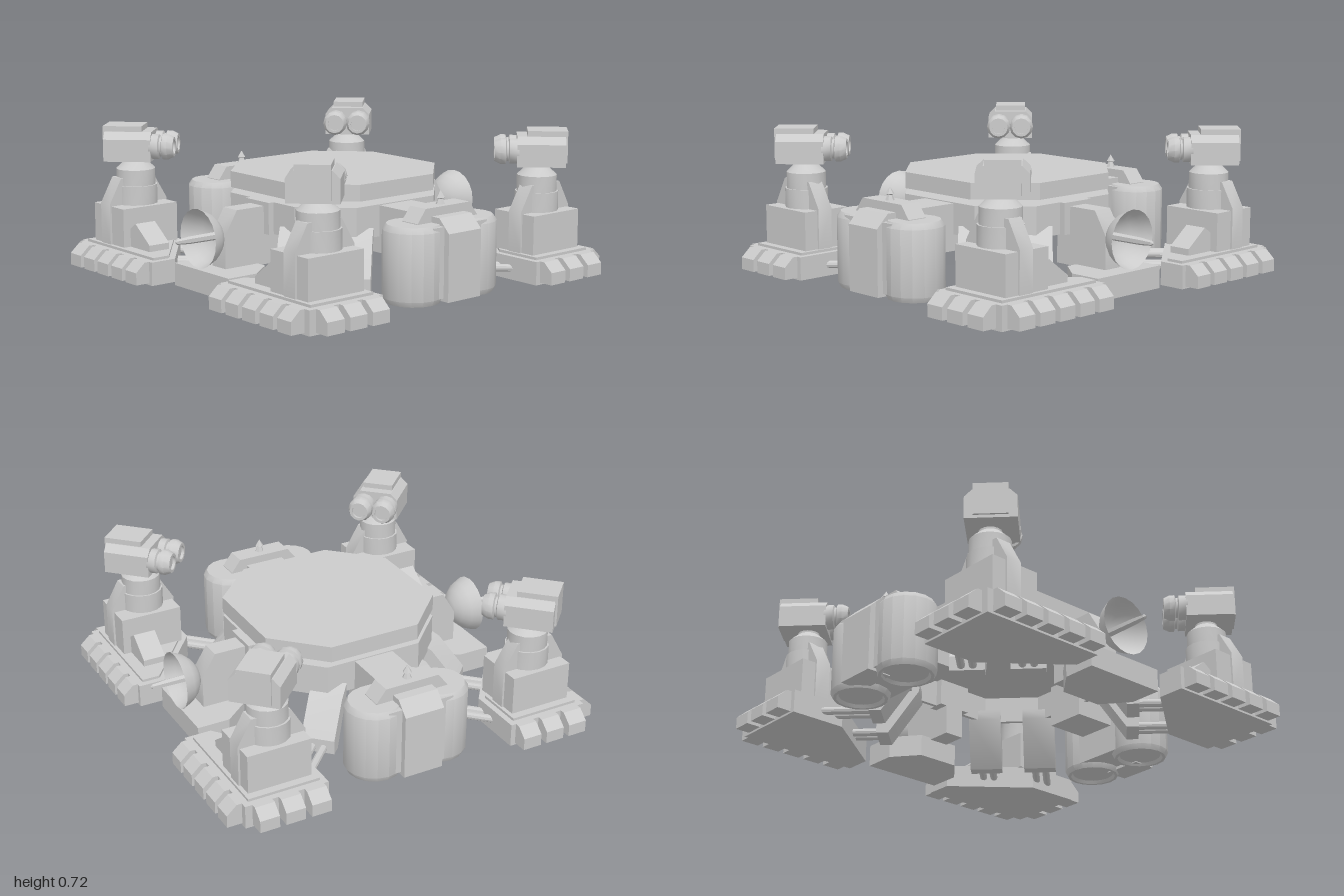
import * as THREE from 'three';
import { toCreasedNormals } from 'three/addons/utils/BufferGeometryUtils.js';

const material = new THREE.MeshStandardMaterial({ color: 0xcccccc });
const thin = new THREE.MeshStandardMaterial({ color: 0xcccccc, side: THREE.DoubleSide });

// Mirror sets as [x sign, z sign]
const ONE = [[1, 1]];
const SIDES = [[1, 1], [-1, 1]];
const ENDS = [[1, 1], [1, -1]];
const CORNERS = [[1, 1], [-1, 1], [1, -1], [-1, -1]];

// Geometry helpers
const shapeOf = (pts) => new THREE.Shape(pts.map(([a, b]) => new THREE.Vector2(a, b)));
const extrude = (shape, depth) => new THREE.ExtrudeGeometry(shape, { depth, bevelEnabled: false });
// outline in x,z raised from y0 to y1, with an optional hole
const slab = (pts, y0, y1, hole) => {
  const shape = shapeOf(pts);
  if (hole) shape.holes.push(shapeOf(hole));
  return extrude(shape, y1 - y0).rotateX(Math.PI / 2).translate(0, y1, 0);
};
// profile in x,y spanning z0 to z1
const alongZ = (pts, z0, z1) => extrude(shapeOf(pts), z1 - z0).translate(0, 0, z0);
// profile in z,y spanning x0 to x1
const alongX = (pts, x0, x1) => extrude(shapeOf(pts), x1 - x0).rotateY(-Math.PI / 2).translate(x1, 0, 0);
const box = (x0, x1, y0, y1, z0, z1) =>
  new THREE.BoxGeometry(x1 - x0, y1 - y0, z1 - z0).translate((x0 + x1) / 2, (y0 + y1) / 2, (z0 + z1) / 2);
const lathe = (pts, n) => new THREE.LatheGeometry(pts.map(([r, y]) => new THREE.Vector2(r, y)), n);
const octagon = (h, c) => [[-c, -h], [c, -h], [h, -c], [h, c], [c, h], [-c, h], [-h, c], [-h, -c]];
// turns local +x onto the diagonal of the +x +z corner
const diagonal = (geo) => geo.rotateY(-Math.PI / 4);

function mirrored(geo, sx, sz) {
  const g = geo.index ? geo.toNonIndexed() : geo.clone();
  g.scale(sx, 1, sz);
  if (sx * sz < 0) {
    for (const attr of Object.values(g.attributes)) {
      const { array, itemSize: n } = attr;
      for (let i = 0; i < array.length; i += 3 * n) {
        for (let k = 0; k < n; k++) {
          [array[i + k], array[i + 2 * n + k]] = [array[i + 2 * n + k], array[i + k]];
        }
      }
    }
  }
  return toCreasedNormals(g, 0.6);
}

export function createModel() {
  const model = new THREE.Group();
  model.name = 'outpostBase';
  const add = (name, geo, mirrors = ONE, mat = material) => {
    for (const [sx, sz] of mirrors) {
      const mesh = new THREE.Mesh(mirrored(geo, sx, sz), mat);
      mesh.name = name;
      model.add(mesh);
    }
  };

  // Landing deck on a hollow hull
  add('landingDeck', slab(octagon(0.465, 0.235), 0.435, 0.515));
  add('deckNeck', new THREE.CylinderGeometry(0.235, 0.235, 0.04, 24).translate(0, 0.42, 0));
  add('hullWall', slab(octagon(0.455, 0.25), 0.25, 0.385, octagon(0.435, 0.24)));
  add('hullRoof', slab(octagon(0.455, 0.25), 0.385, 0.405));
  add('endBlock', box(-0.09, 0.09, 0.25, 0.405, 0.4, 0.485), ENDS);

  // Corner leg housings with piston pairs
  for (const s of [-0.14, 0.14]) {
    add('legHousing', diagonal(alongZ(
      [[0.44, 0.25], [0.59, 0.03], [0.65, 0.03], [0.65, 0.1], [0.52, 0.255], [0.44, 0.3]], s - 0.082, s + 0.082)), CORNERS);
    for (const d of [-0.027, 0.027]) {
      add('piston', diagonal(new THREE.CylinderGeometry(0.019, 0.019, 0.36, 10)
        .rotateZ(Math.PI / 2).translate(0.77, 0.055, s + d)), CORNERS);
    }
  }

  // Feet
  add('foot', slab([[0.27, 0.915], [0.27, 0.78], [0.63, 0.495], [0.915, 0.495], [0.915, 0.915]], 0, 0.115), CORNERS);
  add('footTop', slab([[0.3, 0.885], [0.3, 0.795], [0.64, 0.525], [0.885, 0.525], [0.885, 0.885]], 0.115, 0.128), CORNERS);
  const tread = [[0.9, 0.01], [0.99, 0.01], [0.99, 0.07], [0.94, 0.115], [0.9, 0.115]];
  for (let i = 0; i < 5; i++) {
    const x = 0.34 + i * 0.124;
    add('endTread', alongX(tread, x - 0.047, x + 0.047), CORNERS);
  }
  for (const z of [0.57, 0.7, 0.83]) add('sideTread', alongZ(tread, z - 0.049, z + 0.049), CORNERS);

  // Turret towers, each with a central fin through the neck
  add('towerBase', box(0.585, 0.845, 0.125, 0.32, 0.545, 0.865), CORNERS);
  add('towerFin', alongX(
    [[0.535, 0.125], [0.875, 0.125], [0.875, 0.33], [0.805, 0.455], [0.61, 0.455], [0.535, 0.33]], 0.69, 0.77), CORNERS);
  add('footWedge', alongZ(
    [[0.42, 0.125], [0.6, 0.125], [0.6, 0.21], [0.54, 0.25], [0.42, 0.16]], 0.71, 0.825), CORNERS);
  add('towerNeck', lathe(
    [[0, 0.3], [0.107, 0.3], [0.107, 0.415], [0.098, 0.415], [0.098, 0.495], [0.055, 0.535], [0.055, 0.56], [0, 0.56]], 16)
    .translate(0.715, 0, 0.7), CORNERS);

  // Turret heads, facing the centre
  add('turretHead', diagonal(alongX(
    [[-0.12, 0.545], [0.12, 0.545], [0.12, 0.655], [0.085, 0.69], [-0.085, 0.69], [-0.12, 0.655]], 0.9, 1.135)), CORNERS);
  add('turretCap', diagonal(box(0.95, 1.145, 0.56, 0.717, -0.08, 0.08)), CORNERS);
  for (const s of [-0.062, 0.062]) {
    add('turretBarrel', diagonal(lathe(
      [[0, 0], [0.062, 0], [0.062, 0.045], [0.05, 0.05], [0.05, 0.06], [0.064, 0.065], [0.064, 0.09],
        [0.05, 0.12], [0.036, 0.12], [0.036, 0.105], [0, 0.105]], 12)
      .rotateZ(Math.PI / 2).translate(0.91, 0.615, s)), CORNERS);
  }

  // Side arms, outer posts and twin tanks
  add('sideArm', box(0.4, 0.86, 0.17, 0.4, -0.103, 0.103), SIDES);
  add('outerPost', alongZ(
    [[0.8, 0.015], [0.925, 0.015], [0.925, 0.335], [0.86, 0.4], [0.8, 0.4]], -0.103, 0.103), SIDES);
  add('tank', lathe(
    [[0, 0.02], [0.105, 0.02], [0.115, 0.005], [0.13, 0.005], [0.143, 0.03], [0.143, 0.345], [0.125, 0.372], [0, 0.372]], 16)
    .translate(0.76, 0, 0.172), CORNERS);
  add('tankBridge', box(0.625, 0.895, 0.03, 0.365, -0.17, 0.17), SIDES);
  add('tankCap', alongX(
    [[-0.19, 0.36], [0.19, 0.36], [0.19, 0.375], [0.14, 0.44], [-0.14, 0.44], [-0.19, 0.375]], 0.705, 0.81), SIDES);
  add('tankBeacon', lathe(
    [[0, 0.435], [0.025, 0.435], [0.012, 0.465], [0.022, 0.47], [0, 0.505]], 6).translate(0.76, 0, 0), SIDES);

  // End platforms with dishes
  add('dishPlatform', slab(
    [[-0.215, 0.82], [-0.215, 0.655], [-0.11, 0.525], [0.11, 0.525], [0.215, 0.655], [0.215, 0.82]], 0, 0.11), ENDS);
  add('dishSupport', alongX(
    [[0.4, 0.1], [0.715, 0.1], [0.715, 0.27], [0.645, 0.385], [0.4, 0.385]], -0.052, 0.052), ENDS);
  add('dish', lathe(
    [[0, 0], [0.05, 0.008], [0.09, 0.033], [0.12, 0.068], [0.142, 0.12]], 20)
    .rotateX(Math.PI / 2).translate(0, 0.265, 0.715), ENDS, thin);
  add('dishAntenna', lathe(
    [[0, 0], [0.02, 0], [0.018, 0.17], [0.012, 0.24], [0, 0.25]], 6)
    .rotateX(Math.PI / 2).translate(0, 0.265, 0.715), ENDS);

  return model;
}
